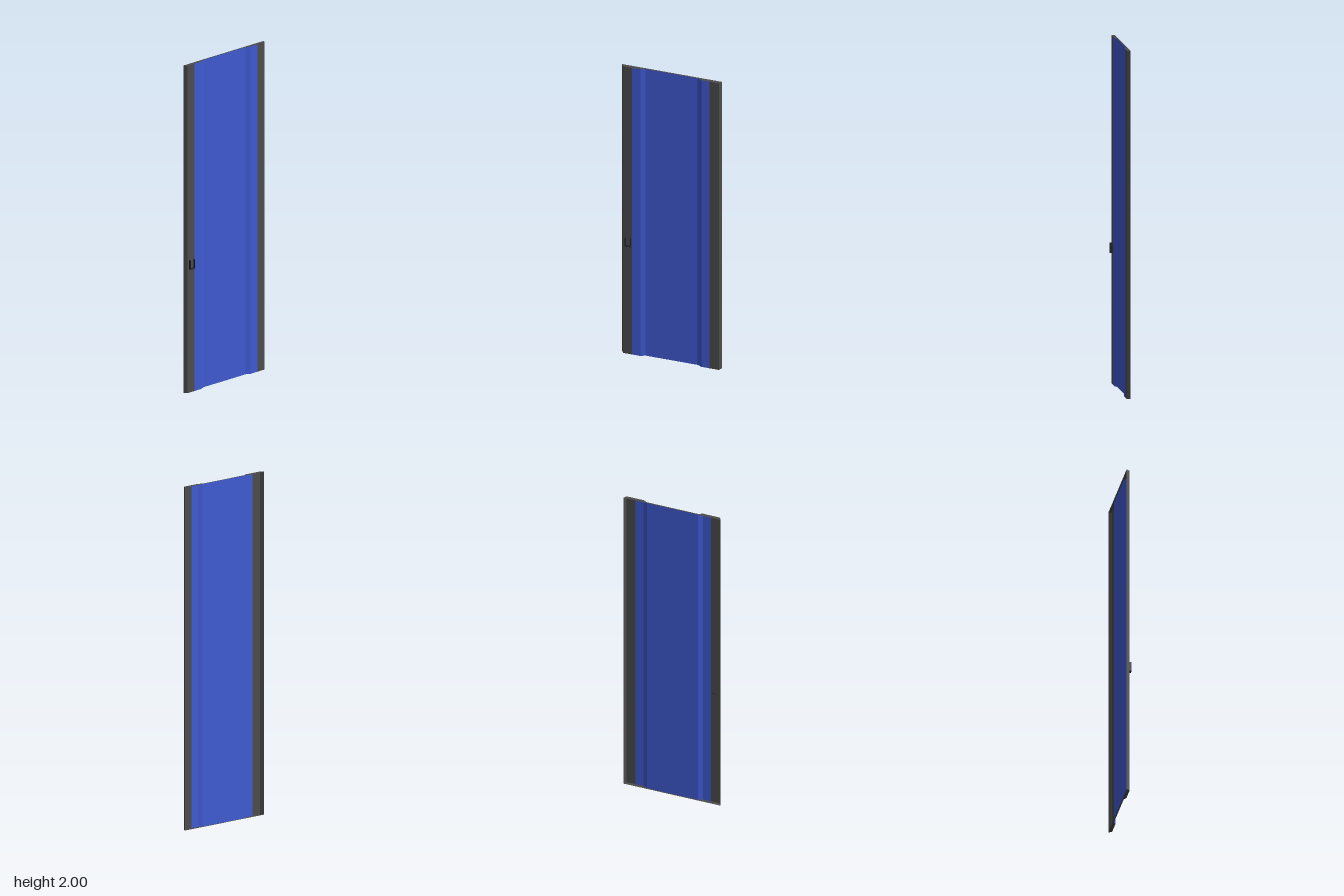
import * as THREE from 'three';

const HEIGHT = 2;
const BACK = -0.018, FRONT = 0.002, RECESS = -0.01;

function mat(name, color) {
  const m = new THREE.MeshStandardMaterial({ color, side: THREE.DoubleSide });
  m.name = name;
  return m;
}

// Full-height sheet that follows a list of [x, z] points, with sharp folds
function foldedSheet(points) {
  const pos = [];
  for (let i = 0; i < points.length - 1; i++) {
    const [x0, z0] = points[i], [x1, z1] = points[i + 1];
    pos.push(x0, 0, z0, x1, 0, z1, x1, HEIGHT, z1);
    pos.push(x0, 0, z0, x1, HEIGHT, z1, x0, HEIGHT, z0);
  }
  const g = new THREE.BufferGeometry();
  g.setAttribute('position', new THREE.Float32BufferAttribute(pos, 3));
  g.computeVertexNormals();
  return g;
}

export function createModel() {
  const group = new THREE.Group();
  group.name = 'doorPanel';
  const grey = mat('darkGrey', 0x4c4c4c);
  const blue = mat('blue', 0x3f5ad2);
  const black = mat('black', 0x202020);

  const add = (name, geometry, material, parent = group) => {
    const mesh = new THREE.Mesh(geometry, material);
    mesh.name = name;
    parent.add(mesh);
    return mesh;
  };

  // Cross-section from right edge to left edge, split by colour
  const rightEdge = [[-0.296, BACK], [-0.284, FRONT], [-0.23, FRONT]];
  const middle = [[-0.23, FRONT], [-0.18, FRONT], [-0.155, RECESS],
    [0.155, RECESS], [0.18, FRONT], [0.23, FRONT]];
  const leftEdge = [[0.23, FRONT], [0.284, FRONT], [0.296, BACK]];

  // Shell, open at the back
  add('rightBorder', foldedSheet(rightEdge), grey);
  add('recessedPanel', foldedSheet(middle), blue);
  add('leftBorder', foldedSheet(leftEdge), grey);

  // End caps that close the cross-section
  const outline = [...rightEdge, ...middle.slice(1), ...leftEdge.slice(1)];
  const cap = (sign) => {
    const shape = new THREE.Shape(outline.map(([x, z]) => new THREE.Vector2(x, -sign * z)));
    return new THREE.ShapeGeometry(shape).rotateX(-sign * Math.PI / 2);
  };
  add('topCap', cap(1), grey).position.y = HEIGHT;
  add('bottomCap', cap(-1), grey);

  // Small U-shaped pull, open at the top and front
  const pull = new THREE.Group();
  pull.name = 'pull';
  pull.position.set(-0.254, 0.755, 0.009);
  group.add(pull);
  const wall = 0.003, width = 0.034, depth = 0.014, tall = 0.055;
  add('pullFloor', new THREE.BoxGeometry(width, wall, depth), black, pull)
    .position.y = wall / 2;
  for (const s of [-1, 1]) {
    add(s < 0 ? 'pullRightWall' : 'pullLeftWall',
      new THREE.BoxGeometry(wall, tall, depth), black, pull)
      .position.set(s * (width - wall) / 2, tall / 2, 0);
  }
  return group;
}
